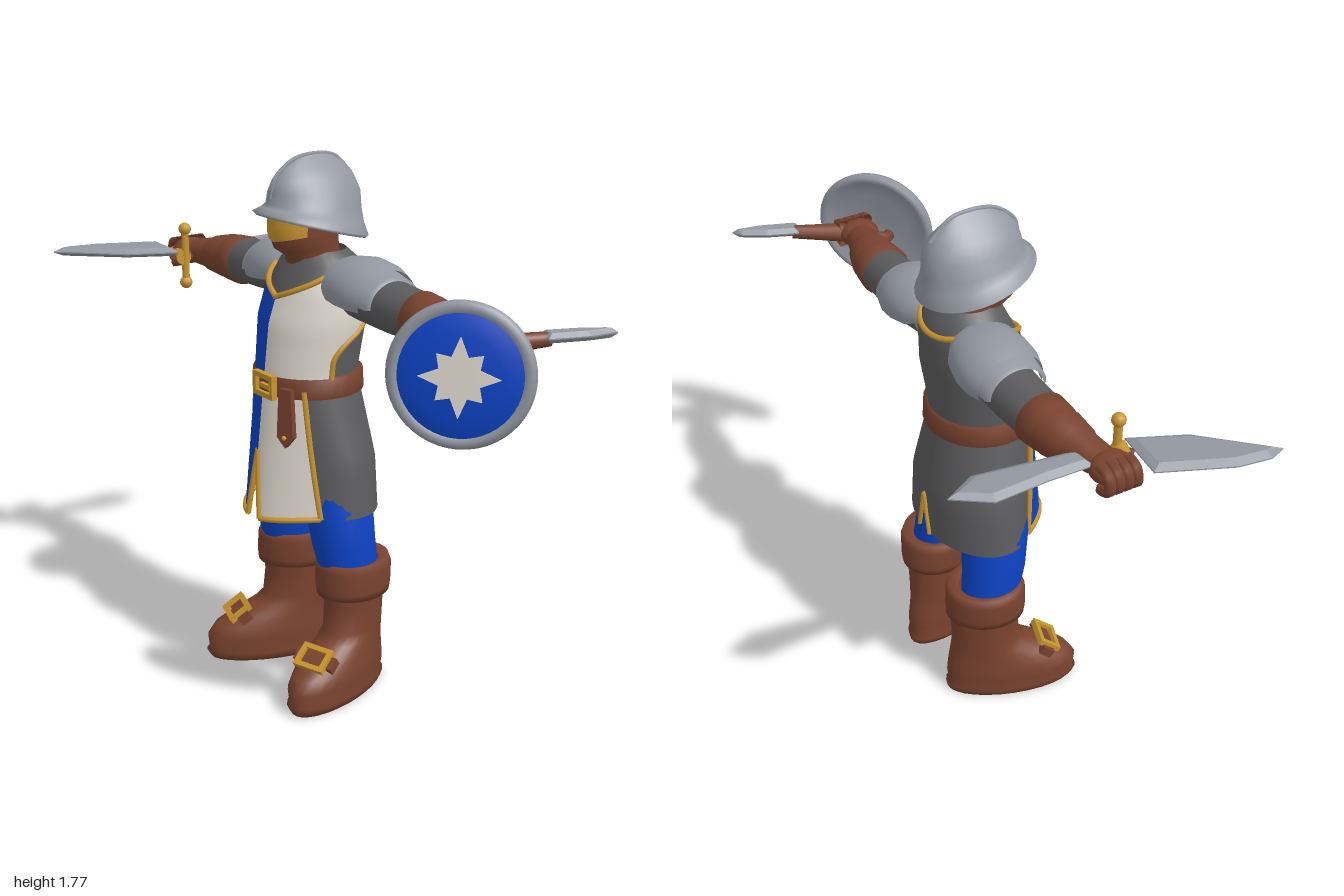
import * as THREE from 'three';

const mat = (name, color) => new THREE.MeshStandardMaterial({ name, color, side: THREE.DoubleSide });
const V = (x, y, z) => new THREE.Vector3(x, y, z);
const lerp = THREE.MathUtils.lerp, PI = Math.PI;

// Surface from a rule f(u, v) -> [x, y, z]
function grid(nu, nv, f, closed = false) {
  const pos = [], idx = [], cols = closed ? nu : nu + 1;
  for (let j = 0; j <= nv; j++) for (let i = 0; i < cols; i++) pos.push(...f(i / nu, j / nv));
  for (let j = 0; j < nv; j++) for (let i = 0; i < nu; i++) {
    const k = (i + 1) % cols, a = j * cols + i, b = j * cols + k;
    idx.push(a, b, b + cols, a, b + cols, a + cols);
  }
  const g = new THREE.BufferGeometry();
  g.setAttribute('position', new THREE.Float32BufferAttribute(pos, 3));
  g.setIndex(idx);
  g.computeVertexNormals();
  return g;
}

// Point on a stack of oval rings [y, cx, cz, rx, rz] at angle a (0 = front) and height y
function onRings(rings, a, y, out = 0) {
  let i = 0;
  while (i < rings.length - 2 && y > rings[i + 1][0]) i++;
  const A = rings[i], B = rings[i + 1];
  const t = THREE.MathUtils.clamp((y - A[0]) / (B[0] - A[0]), 0, 1);
  const [, cx, cz, rx, rz] = A.map((n, k) => lerp(n, B[k], t));
  return [cx + (rx + out) * Math.sin(a), y, cz + (rz + out) * Math.cos(a)];
}

// Loft through rings, whole or over an arc
function loft(rings, a0 = 0, a1 = 2 * PI, n = 28) {
  const m = rings.length - 1;
  return grid(n, m, (u, v) => {
    const [y, cx, cz, rx, rz] = rings[Math.round(v * m)], a = lerp(a0, a1, u);
    return [cx + rx * Math.sin(a), y, cz + rz * Math.cos(a)];
  }, a1 - a0 > 6.28);
}

// Loft along the arm; rings are [x, height, z, ry, rz]
function armLoft(s, rings, half = PI) {
  const c = -s * PI / 2;
  return loft(rings.map(([x, h, z, ry, rz]) => [x, -s * h, z, ry, rz]), c - half, c + half).rotateZ(c);
}

const tube = (pts, r = 0.01) =>
  new THREE.TubeGeometry(new THREE.CatmullRomCurve3(pts.map(p => V(...p)), false, 'centripetal'), pts.length * 6, r, 6);

function rod(p, q, r1, r2) {
  const d = V(...q).sub(V(...p)), g = new THREE.CylinderGeometry(r2, r1, d.length(), 12);
  g.applyQuaternion(new THREE.Quaternion().setFromUnitVectors(V(0, 1, 0), d.clone().normalize()));
  const c = V(...p).addScaledVector(d, 0.5);
  return g.translate(c.x, c.y, c.z);
}

const poly = pts => new THREE.Shape(pts.map(p => new THREE.Vector2(...p)));

// Rectangular buckle frame facing +z
function frame(w, h, t, depth) {
  const rect = (a, b) => [[-a, -b], [a, -b], [a, b], [-a, b]];
  const s = poly(rect(w / 2, h / 2));
  s.holes.push(poly(rect(w / 2 - t, h / 2 - t)));
  return new THREE.ExtrudeGeometry(s, { depth, bevelEnabled: false });
}

// Flat blade lying level, outline in x and z, bevelled edges
const blade = (pts, y, edge) => new THREE.ExtrudeGeometry(poly(pts), {
  depth: 0.004, bevelThickness: 0.013, bevelSize: edge, bevelOffset: -edge, bevelSegments: 1,
}).rotateX(PI / 2).translate(0, y, 0);

export function createModel() {
  const steel = mat('steel', 0x9297a0), mail = mat('dark grey cloth', 0x5c5c5e), blue = mat('blue cloth', 0x0d43c4);
  const white = mat('white cloth', 0xe0dacf), gold = mat('gold trim', 0xc8952f), leather = mat('brown leather', 0x7a432f);
  const root = new THREE.Group(), body = new THREE.Group();
  body.name = 'soldier';
  body.position.x = -0.03;
  root.add(body);
  const add = (name, geo, m, parent = body) => {
    const mesh = new THREE.Mesh(geo, m);
    mesh.name = name;
    parent.add(mesh);
    return mesh;
  };

  // Torso
  const chest = [[1.03, 0, 0.03, 0.172, 0.162], [1.1, 0, 0.03, 0.168, 0.16], [1.25, 0, 0.01, 0.185, 0.163],
    [1.36, 0, -0.01, 0.18, 0.145], [1.43, 0, -0.02, 0.145, 0.12], [1.47, 0, -0.01, 0.09, 0.09]];
  add('torso', loft(chest), mail);
  const neckY = a => Math.min(1.43, 1.33 + 0.075 * Math.abs(a));
  const sideA = v => 1.4 + 0.8 * THREE.MathUtils.smoothstep(v, 0.3, 0.65);
  const tunicPoint = (s, u, v, out) => {
    const a = u * sideA(v);
    return onRings(chest, s * a, lerp(1.03, neckY(a), v), out);
  };
  const row = (n, f) => Array.from({ length: n + 1 }, (_, i) => f(i / n));

  // Skirt, open in front and notched behind
  const skirt = [[0.6, 0, 0, 0.258, 0.172], [0.8, 0, 0, 0.235, 0.17], [0.93, 0, 0.015, 0.2, 0.165], [1.04, 0, 0.03, 0.172, 0.162]];
  const hem = a => 0.63 + Math.max(0, 0.15 * (1 - Math.abs(a - PI) / 0.13));
  add('skirt', grid(96, 10, (u, v) => {
    const a = lerp(0.75, 2 * PI - 0.75, u);
    return onRings(skirt, a, lerp(hem(a), 1.04, v));
  }), mail);
  add('backSlitTrim', tube([-0.13, -0.065, 0, 0.065, 0.13].map(d => onRings(skirt, PI + d, hem(PI + d), 0.003)), 0.008), gold);

  // Front skirt panel
  const panelPoint = (s, u, v) => {
    const x = lerp(Math.max(0, 0.033 * (1 - v / 0.52)), lerp(0.19, 0.138, v), u);
    return [s * x, lerp(0.61, 1.05, v) + 0.1 * x * (1 - v), lerp(0.25, 0.203, v) - lerp(3.8, 3.3, v) * x * x];
  };

  for (const s of [-1, 1]) {
    const side = s > 0 ? 'left' : 'right', cloth = s > 0 ? white : blue;
    add(side + 'TunicFront', grid(20, 14, (u, v) => tunicPoint(s, u, v, 0.007)), cloth);
    add(side + 'NeckTrim', tube(row(6, t => tunicPoint(s, t, 1, 0.007))), gold);
    add(side + 'ArmholeTrim', tube(row(10, t => tunicPoint(s, 1, t, 0.005))), gold);
    add(side + 'SkirtPanel', grid(12, 14, (u, v) => panelPoint(s, u, v)), cloth);
    add(side + 'PanelOuterTrim', tube(row(6, t => panelPoint(s, 1, t))), gold);
    add(side + 'PanelInnerTrim', tube(row(5, t => panelPoint(s, 0, t * 0.52))), gold);
    add(side + 'PanelHemTrim', tube(row(5, t => panelPoint(s, t, 0))), gold);

    // Arm and shoulder plates
    add(side + 'Sleeve', armLoft(s, [[0.12, 1.36, -0.045, 0.08, 0.085], [0.22, 1.355, -0.05, 0.087, 0.09],
      [0.35, 1.34, -0.05, 0.08, 0.085], [0.52, 1.333, -0.045, 0.074, 0.078]]), mail);
    add(side + 'ShoulderPlate', armLoft(s, [[0.1, 1.38, -0.04, 0.065, 0.09], [0.14, 1.37, -0.04, 0.092, 0.118],
      [0.21, 1.365, -0.045, 0.106, 0.128], [0.27, 1.36, -0.045, 0.104, 0.126], [0.315, 1.355, -0.045, 0.092, 0.112]], 1.85), steel);
    add(side + 'ShoulderLame', armLoft(s, [[0.28, 1.352, -0.045, 0.094, 0.112], [0.345, 1.345, -0.045, 0.086, 0.104],
      [0.352, 1.345, -0.045, 0.076, 0.09]], 1.6), steel);
    add(side + 'Gauntlet', armLoft(s, [[0.475, 1.333, -0.045, 0.06, 0.06], [0.48, 1.333, -0.045, 0.084, 0.088],
      [0.54, 1.333, -0.042, 0.08, 0.083], [0.555, 1.333, -0.041, 0.07, 0.075], [0.57, 1.333, -0.04, 0.077, 0.081],
      [0.64, 1.33, -0.028, 0.064, 0.068], [0.65, 1.33, -0.025, 0.056, 0.06], [0.74, 1.328, -0.005, 0.042, 0.052]]), leather);
    add(side + 'Palm', new THREE.SphereGeometry(1, 18, 12).scale(0.065, 0.045, 0.068).translate(s * 0.765, 1.325, 0.005), leather);
    for (let i = 0; i < 4; i++) {
      const z = -0.045 + i * 0.03;
      add(side + 'Finger', tube([[s * 0.78, 1.36, z], [s * 0.825, 1.345, z], [s * 0.83, 1.305, z], [s * 0.79, 1.285, z]], 0.018), leather);
    }
    add(side + 'Thumb', tube([[s * 0.72, 1.32, 0.03], [s * 0.715, 1.31, 0.08], [s * 0.735, 1.305, 0.1]], 0.022), leather);

    // Leg
    add(side + 'Leg', loft([[0.4, s * 0.17, -0.02, 0.085, 0.1], [0.52, s * 0.16, 0, 0.093, 0.11],
      [0.65, s * 0.145, 0.01, 0.105, 0.115], [0.85, s * 0.1, 0.02, 0.1, 0.11]]), blue);

    // Boot, turned outward about the ankle
    const boot = new THREE.Group();
    boot.name = side + 'Boot';
    boot.position.set(s * 0.165, 0, -0.035);
    boot.rotation.y = s * 0.32;
    body.add(boot);
    add('bootBody', loft([[0.0, 0, 0.09, 0.001, 0.001], [0.0, 0, 0.09, 0.088, 0.222], [0.025, 0, 0.095, 0.103, 0.232],
      [0.03, 0, 0.095, 0.095, 0.222], [0.08, 0, 0.095, 0.102, 0.228], [0.12, 0, 0.083, 0.098, 0.212], [0.16, 0, 0.05, 0.09, 0.173],
      [0.19, 0, 0.02, 0.088, 0.138], [0.22, 0, 0.003, 0.086, 0.118], [0.3, 0, -0.003, 0.088, 0.115], [0.4, 0, 0, 0.095, 0.118]]), leather, boot);
    add('bootCuff', loft([[0.37, 0, 0, 0.09, 0.11], [0.345, 0, 0, 0.114, 0.134], [0.37, 0, 0, 0.118, 0.136],
      [0.44, 0, 0, 0.122, 0.134], [0.465, 0, 0, 0.114, 0.124], [0.455, 0, 0, 0.08, 0.09]]), leather, boot);
    const strap = add('bootStrap', new THREE.BoxGeometry(0.15, 0.045, 0.03), leather, boot);
    strap.position.set(0, 0.158, 0.205);
    const buckle = add('bootBuckle', frame(0.115, 0.085, 0.017, 0.02), gold, boot);
    buckle.position.set(0, 0.163, 0.212);
    strap.rotation.x = buckle.rotation.x = -0.95;
  }
  add('tunicSeat', loft([[0.66, 0, 0.01, 0.09, 0.09], [0.8, 0, 0.02, 0.17, 0.13], [1, 0, 0.03, 0.15, 0.14]]), blue);
  add('backCollarTrim', tube(row(10, t => {
    const a = lerp(PI - 1.2, PI + 1.2, t);
    return onRings(chest, a, 1.435 - 0.04 * Math.sin(t * PI), 0.003);
  })), gold);

  // Belt
  add('belt', loft([[1.02, 0, 0.03, 0.168, 0.16], [1.024, 0, 0.03, 0.188, 0.176], [1.086, 0, 0.03, 0.184, 0.174],
    [1.09, 0, 0.03, 0.165, 0.155]]), leather);
  add('beltBuckle', frame(0.11, 0.078, 0.017, 0.02), gold).position.set(0.015, 1.055, 0.197);
  add('buckleTongue', new THREE.BoxGeometry(0.06, 0.014, 0.014), gold).position.set(0.03, 1.055, 0.212);
  const beltEnd = add('beltEnd', new THREE.ExtrudeGeometry(
    poly([[-0.022, 0.19], [-0.03, 0.035], [0, 0], [0.03, 0.035], [0.022, 0.19]]), { depth: 0.022, bevelEnabled: false }), leather);
  beltEnd.position.set(0.115, 0.87, 0.185);
  beltEnd.rotation.set(-0.06, 0.4, 0.06);
  add('beltStud', new THREE.SphereGeometry(0.008, 8, 6), gold).position.set(0.122, 0.905, 0.207);

  // Head
  const head = [[1.38, 0, 0, 0.1, 0.1], [1.45, 0, 0.01, 0.08, 0.09], [1.48, 0, 0.035, 0.088, 0.11],
    [1.53, 0, 0.045, 0.096, 0.115], [1.62, 0, 0.04, 0.095, 0.115]];
  add('head', loft(head), leather);
  add('faceBand', grid(20, 4, (u, v) => {
    const a = lerp(-1.15, 1.15, u);
    return onRings(head, a, lerp(1.505 + 0.02 * Math.abs(a), 1.6, v), 0.006);
  }), gold);

  // Brimmed helmet: rings [y, half width, front z, back z, slope], closing in a ridge
  const helm = [[1.55, 0.11, 0.14, -0.1, 0.25], [1.535, 0.16, 0.195, -0.162, 0.27], [1.545, 0.17, 0.207, -0.172, 0.27],
    [1.575, 0.14, 0.182, -0.162, 0.2], [1.605, 0.122, 0.168, -0.157, 0.1], [1.65, 0.107, 0.166, -0.158, 0.04],
    [1.695, 0.079, 0.153, -0.137, 0], [1.73, 0.044, 0.12, -0.106, 0], [1.755, 0.015, 0.075, -0.07, 0], [1.768, 0.001, 0.03, -0.04, 0]];
  add('helmet', grid(36, helm.length - 1, (u, v) => {
    const [y, w, f, b, slope] = helm[Math.round(v * (helm.length - 1))], a = u * 2 * PI;
    const z = (f + b) / 2 + (f - b) / 2 * Math.cos(a);
    return [w * Math.sin(a), y + slope * z, z];
  }, true), steel);
  add('helmetRidge', tube([[0, 1.64, 0.166], [0, 1.697, 0.152], [0, 1.732, 0.118], [0, 1.757, 0.072], [0, 1.766, 0],
    [0, 1.755, -0.07], [0, 1.695, -0.136]], 0.007), steel);

  // Weapons, placed in model space
  const arms = new THREE.Group();
  arms.name = 'weapons';
  root.add(arms);
  add('swordBlade', blade([[-0.89, 0.08], [-0.72, 0.1], [-0.797, 0.267], [-0.98, 0.455], [-1, 0.4], [-0.984, 0.294]], 1.342, 0.025), steel, arms);
  add('swordGuard', rod([-0.727, 1.23, 0.07], [-0.727, 1.42, 0.07], 0.013, 0.013), gold, arms);
  for (const y of [1.23, 1.42]) add('guardKnob', new THREE.SphereGeometry(0.022, 12, 8), gold, arms).position.set(-0.727, y, 0.07);
  add('swordHilt', rod([-0.845, 1.315, 0.045], [-0.72, 1.32, 0.08], 0.022, 0.026), gold, arms);
  add('rearBlade', blade([[-0.78, -0.04], [-0.775, -0.18], [-0.783, -0.36], [-0.708, -0.465], [-0.652, -0.36], [-0.7, -0.04]].reverse(), 1.34, 0.022), steel, arms);
  add('rearBladeStud', new THREE.SphereGeometry(0.014, 10, 8), gold, arms).position.set(-0.74, 1.335, -0.2);
  add('daggerHandle', rod([0.74, 1.32, 0.02], [0.84, 1.335, -0.2], 0.036, 0.022), leather, arms);
  add('daggerBlade', blade([[0.805, -0.19], [0.868, -0.17], [0.912, -0.29], [0.923, -0.385], [0.89, -0.365], [0.845, -0.29]], 1.345, 0.014), steel, arms);

  // Round shield
  const shield = new THREE.Group();
  shield.name = 'shield';
  shield.position.set(0.84, 1.28, 0.13);
  shield.rotation.set(-0.08, 0.75, 0, 'YXZ');
  root.add(shield);
  const disc = pts => new THREE.LatheGeometry(pts.map(p => new THREE.Vector2(...p)), 48).rotateX(PI / 2);
  add('shieldRim', disc([[0, -0.008], [0.12, -0.014], [0.175, -0.028], [0.185, -0.04], [0.203, -0.038], [0.21, -0.022], [0.203, -0.004], [0.185, 0], [0.172, -0.01]]), steel, shield);
  add('shieldFace', disc([[0.178, -0.008], [0.12, 0.011], [0, 0.014]]), blue, shield);
  const star = poly(row(15, t => {
    const i = Math.round(t * 15), r = i % 2 ? 0.062 : i % 4 ? 0.092 : 0.115;
    return [r * Math.sin(i * PI / 8), r * Math.cos(i * PI / 8)];
  }));
  add('shieldStar', new THREE.ExtrudeGeometry(star, { depth: 0.008, bevelEnabled: false }).translate(0, 0, 0.01), white, shield);
  return root;
}
